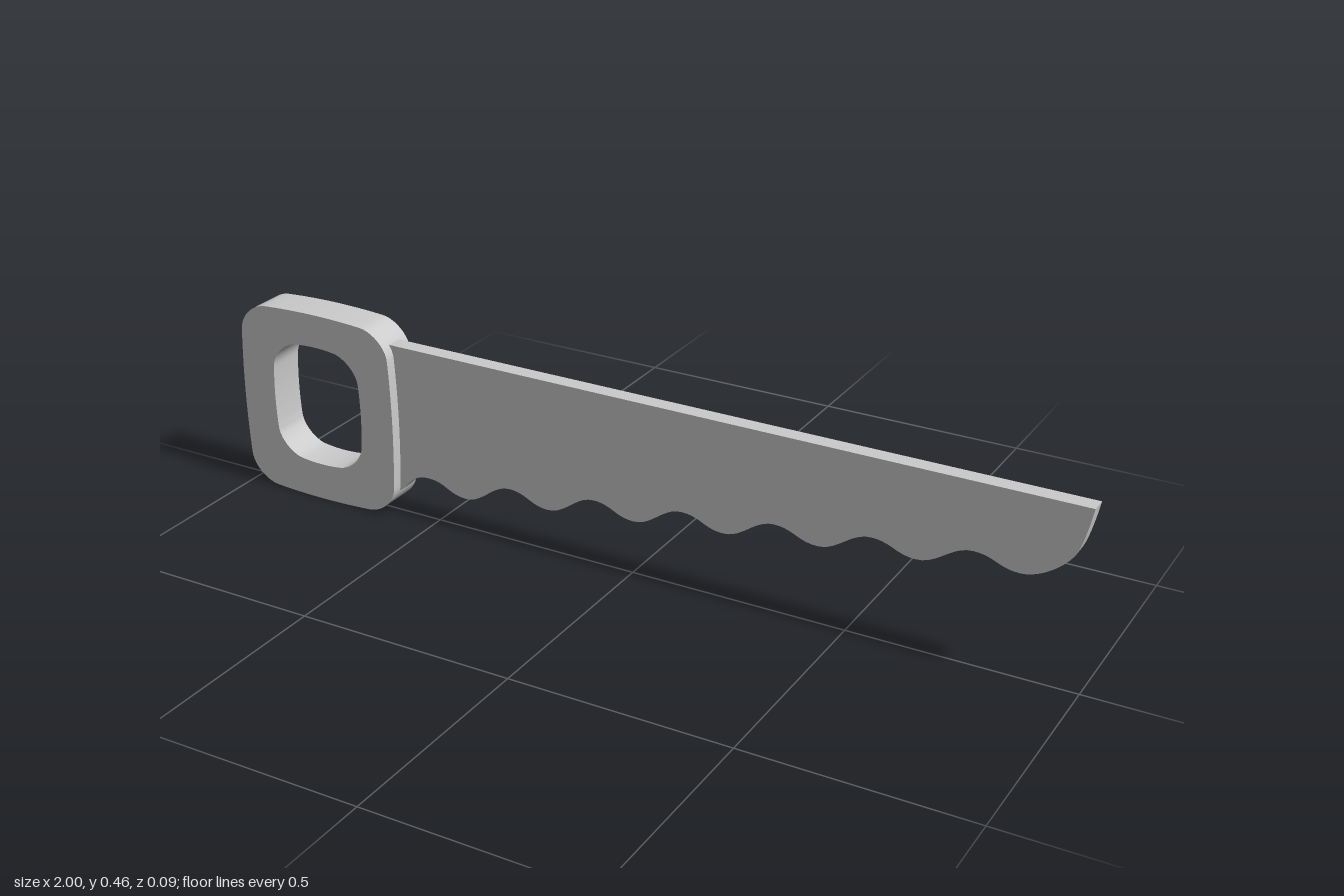
import * as THREE from 'three';
import { toCreasedNormals } from 'three/addons/utils/BufferGeometryUtils.js';

const material = new THREE.MeshStandardMaterial({ color: 0xcccccc });

// Extrude an outline to a given thickness, centred on z = 0
function plate(name, shape, depth) {
  const geometry = new THREE.ExtrudeGeometry(shape, { depth, bevelEnabled: false, curveSegments: 10 });
  geometry.translate(0, 0, -depth / 2);
  const mesh = new THREE.Mesh(toCreasedNormals(geometry, 0.6), material);
  mesh.name = name;
  return mesh;
}

// Rounded rectangle with gently bowed sides: half sizes w and h, corner size r, bow b
function bowedRect(path, cx, cy, w, h, r, b) {
  const k = r * 0.45;
  const x = (v) => cx + v, y = (v) => cy + v;
  path.moveTo(x(w - r), y(-h + b));
  path.bezierCurveTo(x(w - r + k), y(-h + b * 1.5), x(w - b), y(-h + r - k), x(w - b), y(-h + r));
  path.quadraticCurveTo(x(w + b), y(0), x(w - b), y(h - r));
  path.bezierCurveTo(x(w - b), y(h - r + k), x(w - r + k), y(h - b * 1.5), x(w - r), y(h - b));
  path.quadraticCurveTo(x(0), y(h + b), x(-w + r), y(h - b));
  path.bezierCurveTo(x(-w + r - k), y(h - b * 1.5), x(-w + b), y(h - r + k), x(-w + b), y(h - r));
  path.quadraticCurveTo(x(-w - b), y(0), x(-w + b), y(-h + r));
  path.bezierCurveTo(x(-w + b), y(-h + r - k), x(-w + r - k), y(-h + b * 1.5), x(-w + r), y(-h + b));
  path.quadraticCurveTo(x(0), y(-h - b), x(w - r), y(-h + b));
  return path;
}

export function createModel() {
  const group = new THREE.Group();
  group.name = 'handSaw';

  // Handle: rounded ring with a grip opening
  const handle = bowedRect(new THREE.Shape(), -0.793, 0.2275, 0.206, 0.2275, 0.075, 0.005);
  handle.holes.push(bowedRect(new THREE.Path(), -0.7925, 0.2325, 0.12, 0.1445, 0.072, 0.003));
  group.add(plate('handle', handle, 0.088));

  // Blade: straight back, wavy teeth rising toward the tip
  const blade = new THREE.Shape();
  blade.moveTo(-0.62, 0.413);
  blade.lineTo(-0.62, 0.06);
  blade.lineTo(-0.592, 0.06);
  let px = -0.592, py = 0.06, lead = 0.025;
  const waveTo = (x, y) => {
    blade.bezierCurveTo(px + lead, py + (px < -0.55 ? 0.022 : 0), x - 0.045, y, x, y);
    px = x; py = y; lead = 0.045;
  };
  for (let i = 0; i < 7; i++) {
    waveTo(-0.512 + 0.2133 * i, 0.109 + 0.0258 * i);
    waveTo(-0.415 + 0.2133 * i, 0.082 + 0.0265 * i);
  }
  // Rounded nose
  blade.bezierCurveTo(px + 0.04, py, 0.955, 0.28, 0.972, 0.312);
  blade.quadraticCurveTo(0.986, 0.345, 0.998, 0.413);
  group.add(plate('blade', blade, 0.037));

  return group;
}
